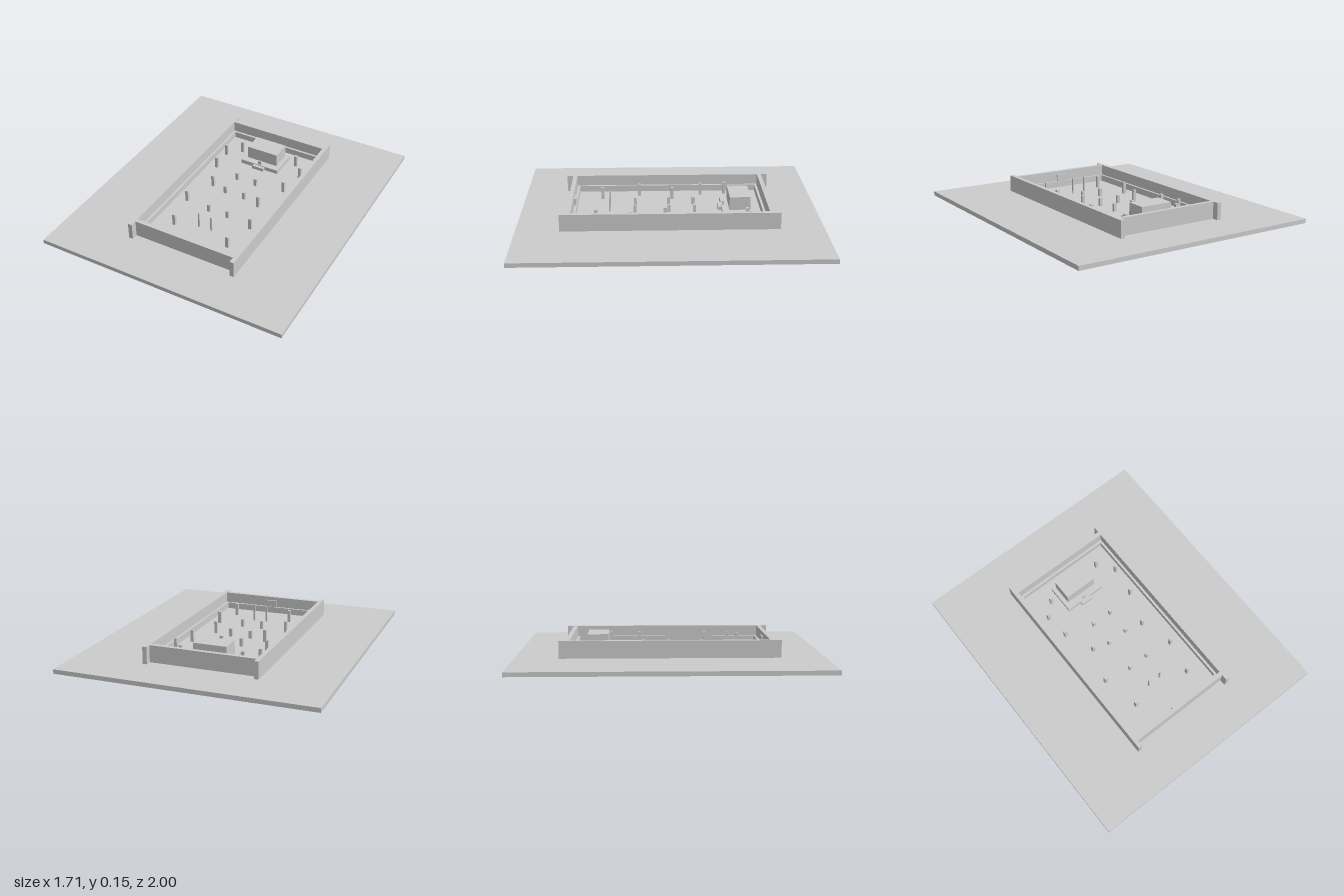
import * as THREE from 'three';

export function createModel() {
  const model = new THREE.Group();
  const material = new THREE.MeshStandardMaterial({ color: 0xcccccc, flatShading: true });
  const GROUND = 0.029;

  // Box standing on height y, centred on x and z
  function block(name, x, y, z, w, h, d) {
    const mesh = new THREE.Mesh(new THREE.BoxGeometry(w, h, d), material);
    mesh.name = name;
    mesh.position.set(x, y + h / 2, z);
    model.add(mesh);
  }

  block('groundSlab', 0, 0, 0, 1.714, GROUND, 2);

  // Enclosure: long side walls overshoot the end walls; low ledge inside
  for (const s of [-1, 1]) {
    block('sideWall', s * 0.371, GROUND, 0, 0.029, 0.114, 1.428);
    block('endWall', 0, GROUND, s * 0.657, 0.714, 0.114, 0.029);
    block('sideLedge', s * 0.346, GROUND, 0, 0.016, 0.043, 1.278);
    block('endLedge', 0, GROUND, s * 0.631, 0.676, 0.043, 0.016);
  }
  block('gate', 0, GROUND, 0.634, 0.084, 0.09, 0.012);

  // Hall on its platform, with entrance step and small altar
  block('platform', 0, GROUND, -0.457, 0.286, 0.029, 0.2);
  block('hall', 0, GROUND + 0.029, -0.475, 0.228, 0.09, 0.14);
  block('entranceStep', 0, GROUND, -0.346, 0.086, 0.024, 0.024);
  block('altar', 0, GROUND + 0.029, -0.37, 0.026, 0.026, 0.012);

  // Paired pedestals along the central path
  for (const z of [-0.171, 0, 0.229]) {
    for (const x of [-0.071, 0.071]) block('pedestal', x, GROUND, z, 0.02, 0.055, 0.02);
  }

  // Slender poles near the gate
  for (const x of [-0.046, 0.046]) block('pole', x, GROUND, 0.4, 0.01, 0.11, 0.01);

  // Scattered posts along both sides
  const posts = [
    [-0.2, -0.486], [0.214, -0.514], [-0.286, -0.4], [0.3, -0.4],
    [-0.271, -0.229], [0.271, -0.2], [-0.186, -0.029], [0.193, 0.029],
    [-0.257, 0.2], [0.257, 0.257], [-0.2, 0.457], [0.214, 0.486],
  ];
  for (const [x, z] of posts) block('post', x, GROUND, z, 0.02, 0.083, 0.02);

  return model;
}
